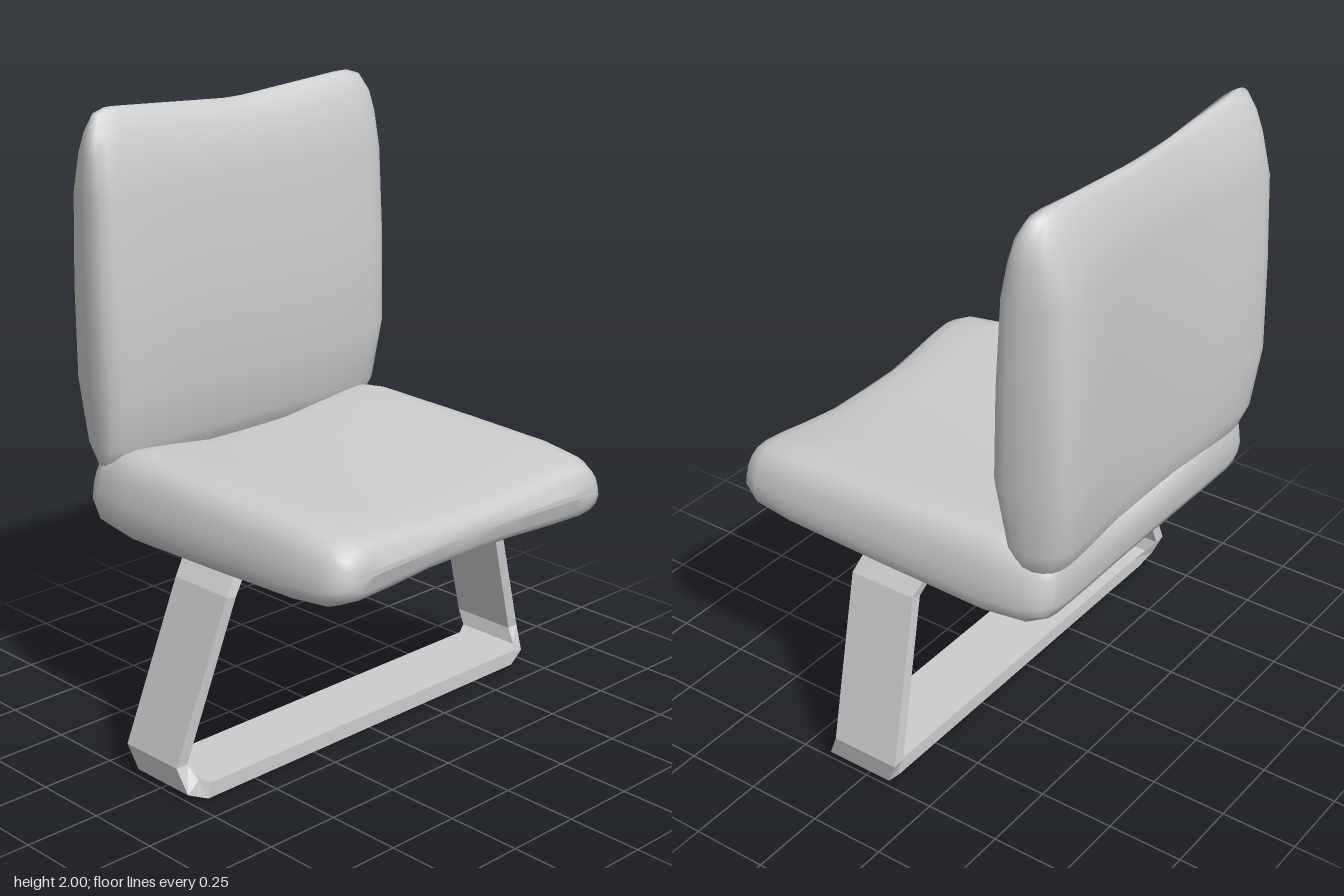
import * as THREE from 'three';
import { mergeVertices } from 'three/addons/utils/BufferGeometryUtils.js';

// Skin a series of closed rings (each counter-clockwise about the path), with fan caps
function loft(rings) {
  const n = rings[0].length, pos = [], index = [];
  rings.forEach(r => r.forEach(p => pos.push(...p)));
  for (let i = 0; i < rings.length - 1; i++) {
    for (let j = 0; j < n; j++) {
      const k = (j + 1) % n;
      const a = i * n + j, b = i * n + k, c = b + n, d = a + n;
      index.push(a, b, c, a, c, d);
    }
  }
  const last = (rings.length - 1) * n;
  for (let j = 1; j < n - 1; j++) {
    index.push(0, j + 1, j, last, last + j, last + j + 1);
  }
  const g = new THREE.BufferGeometry();
  g.setAttribute('position', new THREE.Float32BufferAttribute(pos, 3));
  g.setIndex(index);
  return g;
}

// Half cushion section: x as a share of half width, y from -1 (flat side) to 1 (hollowed side)
const half = [
  [0, -0.96], [0.3, -0.97], [0.6, -1], [0.85, -0.99], [0.93, -0.9], [0.98, -0.7],
  [1, -0.4], [0.99, 0], [0.97, 0.4], [0.94, 0.7], [0.89, 0.92], [0.82, 1],
  [0.7, 0.95], [0.5, 0.82], [0.28, 0.66], [0, 0.64],
];
const section = [...half, ...half.slice(1, -1).reverse().map(([x, y]) => [-x, y])];

// Cushion along z from stations [z, halfWidth, top, bottom]; the far end bows inward
function cushion(stations) {
  const end = stations[stations.length - 1][0];
  const rings = stations.map(([z, w, top, bottom]) => section.map(([x, y]) => {
    const nearEnd = THREE.MathUtils.smoothstep(z, end - 0.3, end);
    const bow = 1 - THREE.MathUtils.smoothstep(Math.abs(x * w), 0.12, 0.52);
    return [x * w, (top + bottom) / 2 + y * (top - bottom) / 2, z - 0.03 * bow * nearEnd];
  }));
  const g = mergeVertices(loft(rings));
  g.computeVertexNormals();
  return g;
}

export function createModel() {
  const group = new THREE.Group();
  const grey = new THREE.MeshStandardMaterial({ color: 0xcccccc });
  grey.name = 'light grey';
  const add = (name, geometry) => {
    const mesh = new THREE.Mesh(geometry, grey);
    mesh.name = name;
    group.add(mesh);
    return mesh;
  };

  add('seatCushion', cushion([
    [-0.55, 0.51, 0.81, 0.79], [-0.547, 0.53, 0.87, 0.73], [-0.53, 0.565, 0.9, 0.695],
    [-0.47, 0.595, 0.925, 0.67], [-0.33, 0.61, 0.94, 0.66], [0.05, 0.612, 0.931, 0.672],
    [0.4, 0.61, 0.92, 0.685], [0.54, 0.6, 0.903, 0.7], [0.595, 0.575, 0.88, 0.725],
    [0.615, 0.54, 0.86, 0.752], [0.62, 0.51, 0.815, 0.795],
  ]));

  // Stations run up the back, with depth measured backward
  const back = add('backCushion', cushion([
    [0.84, 0.51, 0.505, 0.485], [0.845, 0.53, 0.54, 0.45], [0.87, 0.56, 0.56, 0.425],
    [0.94, 0.585, 0.587, 0.39], [1.15, 0.605, 0.615, 0.35], [1.45, 0.61, 0.607, 0.36],
    [1.74, 0.605, 0.595, 0.375], [1.86, 0.598, 0.565, 0.4], [1.93, 0.585, 0.54, 0.42],
    [1.985, 0.555, 0.513, 0.45], [2.0, 0.51, 0.49, 0.475],
  ]));
  back.rotation.x = -Math.PI / 2;

  // Sled frame: flat band, [outer x, outer y, inner x, inner y, centre z] from top to floor
  const side = [
    [0.53, 0.72, 0.49, 0.71, 0.01], [0.6, 0.63, 0.565, 0.62, 0.032],
    [0.77, 0.11, 0.728, 0.11, -0.015], [0.757, 0.03, 0.715, 0.065, 0.02],
    [0.69, 0, 0.68, 0.05, 0.035],
  ];
  const path = [...side.map(([a, b, c, d, z]) => [-a, b, -c, d, z]), ...[...side].reverse()];
  const d = 0.117;
  const frame = loft(path.map(([ox, oy, ix, iy, z]) => [
    [ix, iy, z - d], [ix, iy, z + d], [ox, oy, z + d], [ox, oy, z - d],
  ])).toNonIndexed();
  frame.computeVertexNormals();
  add('sledFrame', frame);

  return group;
}
